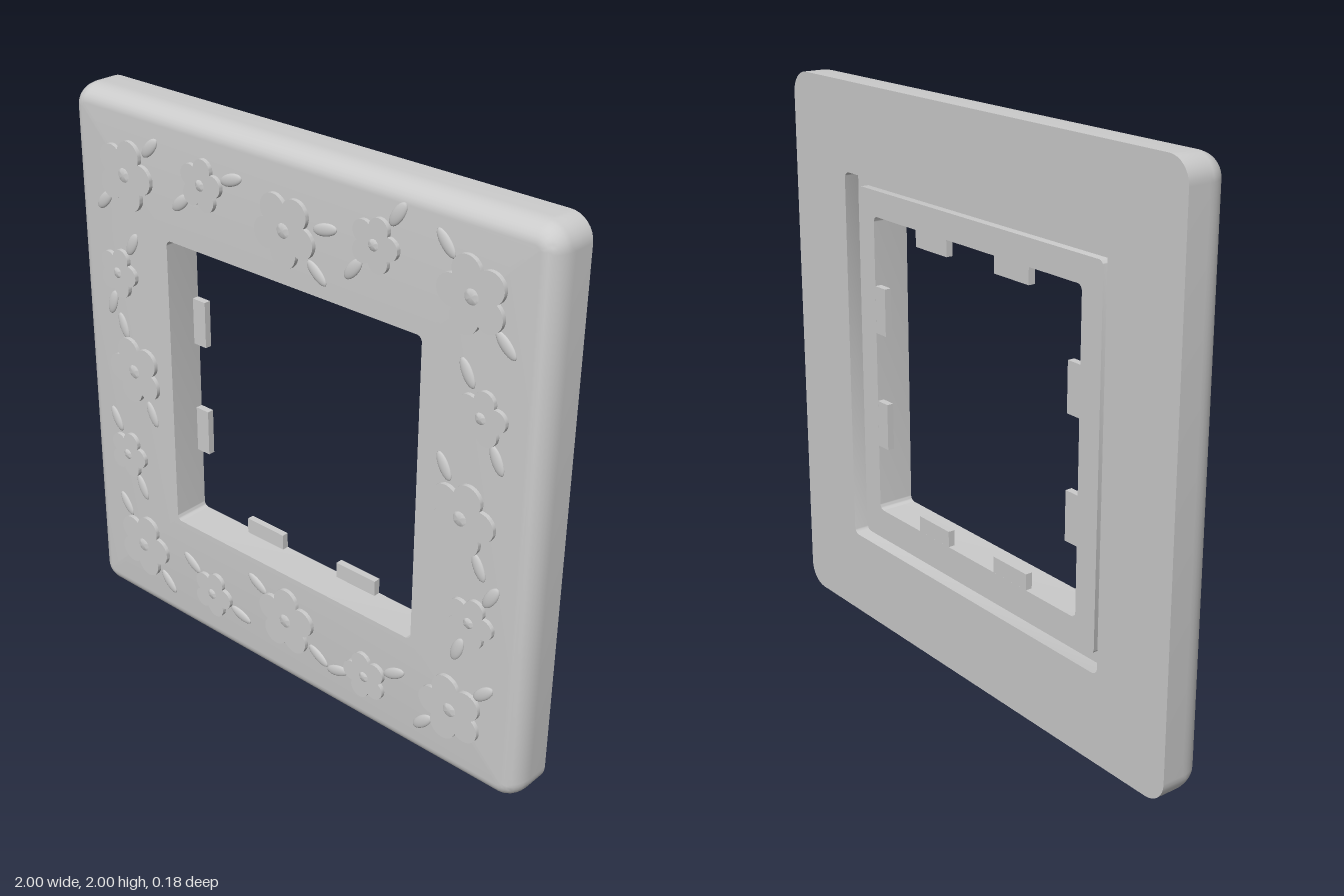
import * as THREE from 'three';
import { toCreasedNormals } from 'three/addons/utils/BufferGeometryUtils.js';

const FRONT = 0.072, BACK = -0.09, LIP = -0.065;
const deg = Math.PI / 180;

// Points of a rounded square with half size h and corner radius r
function roundedSquare(h, r, steps = 8) {
  const pts = [];
  for (let c = 0; c < 4; c++) {
    const mid = (45 + 90 * c) * deg;
    const cx = Math.sign(Math.cos(mid)) * (h - r), cy = Math.sign(Math.sin(mid)) * (h - r);
    for (let i = 0; i <= steps; i++) {
      const a = (c + i / steps) * Math.PI / 2;
      pts.push([cx + r * Math.cos(a), cy + r * Math.sin(a)]);
    }
  }
  return pts;
}

// Closed skin through rounded-square rings [half size, radius, z]
function frameGeometry(rings) {
  const pos = [], index = [];
  const n = roundedSquare(1, 0.1).length;
  for (const [h, r, z] of rings) for (const [x, y] of roundedSquare(h, r)) pos.push(x, y, z);
  rings.forEach((_, k) => {
    const next = (k + 1) % rings.length;
    for (let i = 0; i < n; i++) {
      const j = (i + 1) % n;
      const a = k * n + i, b = k * n + j, c = next * n + j, d = next * n + i;
      index.push(a, b, c, a, c, d);
    }
  });
  const g = new THREE.BufferGeometry();
  g.setAttribute('position', new THREE.Float32BufferAttribute(pos, 3));
  g.setIndex(index);
  return toCreasedNormals(g, 35 * deg);
}

// Five-petal blossom: outer outline of five overlapping discs
function blossomGeometry() {
  const d = 0.075, rho = 0.052, pts = [];
  for (let i = 0; i < 100; i++) {
    const a = i / 100 * Math.PI * 2;
    const step = 72 * deg;
    const off = a - Math.round(a / step) * step;
    const r = d * Math.cos(off) + Math.sqrt(rho * rho - (d * Math.sin(off)) ** 2);
    pts.push(new THREE.Vector2(r * Math.cos(a), r * Math.sin(a)));
  }
  const g = new THREE.ExtrudeGeometry(new THREE.Shape(pts), { depth: 0.02, bevelEnabled: false });
  return toCreasedNormals(g, 35 * deg);
}

export function createModel() {
  const group = new THREE.Group();
  const material = new THREE.MeshStandardMaterial({ color: 0xcccccc });
  const add = (name, geometry, x, y, z, parent = group) => {
    const mesh = new THREE.Mesh(geometry, material);
    mesh.name = name;
    mesh.position.set(x, y, z);
    parent.add(mesh);
    return mesh;
  };

  // Frame body: rounded front edge, window, rear lip and groove
  const rings = [[1, 0.08, BACK]];
  for (let i = 0; i <= 8; i++) {
    const a = i / 8 * Math.PI / 2;
    const inset = 0.06 * (1 - Math.cos(a));
    rings.push([1 - inset, 0.08 - inset, -0.01 + (FRONT + 0.01) * Math.sin(a)]);
  }
  rings.push(
    [0.548, 0.02, FRONT], [0.548, 0.02, LIP],
    [0.64, 0.02, LIP], [0.64, 0.02, -0.035],
    [0.685, 0.025, -0.035], [0.685, 0.025, BACK]
  );
  add('frame', frameGeometry(rings), 0, 1, 0);

  // Retaining tabs, two on each side of the window
  const tabGeometry = new THREE.BoxGeometry(0.172, 0.08, 0.025);
  for (let side = 0; side < 4; side++) {
    const holder = new THREE.Group();
    holder.name = 'windowTabs';
    holder.position.y = 1;
    holder.rotation.z = side * Math.PI / 2;
    for (const s of [-1, 1]) add('tab', tabGeometry, s * 0.213, 0.53, LIP + 0.0127, holder);
    group.add(holder);
  }

  // Flowers: x, y, scale, petal angle, two leaf angles
  const B = 1, S = 0.72;
  const flowers = [
    [-0.73, 1.735, B, 0, 45, 225], [0, 1.735, B, -90, 15, -40], [0.73, 1.735, B, 180, 130, -45],
    [-0.73, 1, B, 185, 110, -65], [0.73, 1, B, 0, 118, -65],
    [-0.73, 0.27, B, 0, 125, -45], [0, 0.27, B, 90, 150, -30], [0.73, 0.27, B, 180, 225, 45],
    [-0.365, 1.79, S, 80, 20, 220], [0.365, 1.79, S, 0, 55, 230],
    [-0.365, 0.215, S, 0, 145, -15], [0.365, 0.215, S, 180, 30, 200],
    [-0.79, 1.365, S, 0, 60, -110], [0.785, 1.365, S, 80, 118, -65],
    [-0.79, 0.64, S, 0, 118, -65], [0.785, 0.64, S, 0, 60, -110]
  ];
  const blossom = blossomGeometry();
  const button = toCreasedNormals(
    new THREE.CylinderGeometry(0.018, 0.027, 0.005, 24).rotateX(Math.PI / 2), 30 * deg);
  const leaf = new THREE.SphereGeometry(1, 20, 12).scale(0.05, 0.021, 0.009);
  for (const [x, y, size, turn, ...leaves] of flowers) {
    const flower = new THREE.Group();
    flower.name = 'flower';
    flower.position.set(x, y, FRONT);
    const petals = add('petals', blossom, 0, 0, -0.005, flower);
    petals.scale.set(size, size, 1);
    petals.rotation.z = turn * deg;
    const middle = add('flowerCentre', button, 0, 0, 0.0165, flower);
    middle.scale.set(size ** 0.8, size ** 0.8, 1);
    for (const angle of leaves) {
      const dist = size === B ? 0.168 : 0.138;
      const a = angle * deg;
      const blade = add('leaf', leaf, dist * Math.cos(a), dist * Math.sin(a), 0, flower);
      blade.rotation.z = a;
    }
    group.add(flower);
  }
  return group;
}
